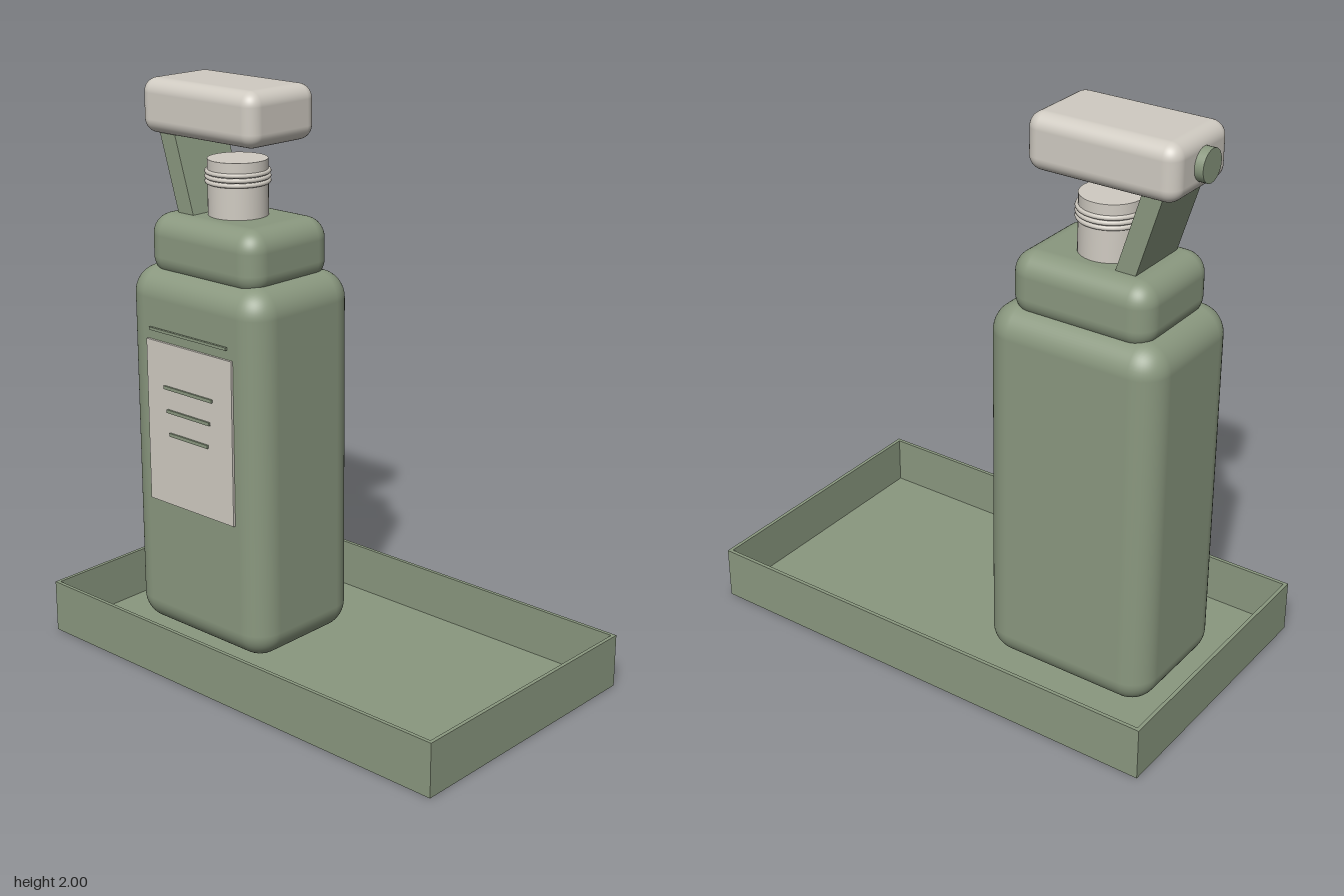
import * as THREE from 'three';
import { RoundedBoxGeometry } from 'three/addons/geometries/RoundedBoxGeometry.js';

const sage = new THREE.MeshStandardMaterial({ color: 0x8a987f });
sage.name = 'sage green';
const cream = new THREE.MeshStandardMaterial({ color: 0xd0cbc2 });
cream.name = 'warm cream';

const AXIS = -0.41; // x of the bottle's centre line

export function createModel() {
  const model = new THREE.Group();
  model.name = 'soapDispenserOnTray';

  const add = (parent, name, geometry, material, x, y, z) => {
    const mesh = new THREE.Mesh(geometry, material);
    mesh.name = name;
    mesh.position.set(x, y, z);
    parent.add(mesh);
    return mesh;
  };
  const group = (name) => {
    const g = new THREE.Group();
    g.name = name;
    model.add(g);
    return g;
  };

  // Shallow tray: floor and four thin walls
  const tray = group('tray');
  const wall = 0.013, floor = 0.015, height = 0.19;
  add(tray, 'trayFloor', new THREE.BoxGeometry(1.76, floor, 1), sage, 0, floor / 2, 0);
  const wallY = (height + floor) / 2;
  for (const side of [-1, 1]) {
    add(tray, 'trayLongWall', new THREE.BoxGeometry(1.76, height - floor, wall), sage,
      0, wallY, side * (0.5 - wall / 2));
    add(tray, 'trayEndWall', new THREE.BoxGeometry(wall, height - floor, 1 - 2 * wall), sage,
      side * (0.88 - wall / 2), wallY, 0);
  }

  // Bottle body and stepped shoulder
  const bottle = group('bottle');
  add(bottle, 'bottleBody', new RoundedBoxGeometry(0.65, 1.345, 0.495, 6, 0.1), sage, AXIS, 0.6875, 0);
  add(bottle, 'shoulder', new RoundedBoxGeometry(0.52, 0.225, 0.4, 6, 0.075), sage, AXIS, 1.4325, 0);

  // Neck with three thread rings
  const pump = group('pump');
  add(pump, 'neck', new THREE.CylinderGeometry(0.105, 0.105, 0.22, 40), cream, AXIS, 1.63, 0);
  for (const y of [1.663, 1.68, 1.697]) {
    const ring = add(pump, 'threadRing', new THREE.TorusGeometry(0.107, 0.008, 8, 40), cream, AXIS, y, 0);
    ring.rotation.x = Math.PI / 2;
  }

  // Pump head, its leaning support and the round nozzle
  add(pump, 'pumpHead', new RoundedBoxGeometry(0.54, 0.19, 0.32, 6, 0.05), cream, -0.455, 1.905, 0);
  const support = add(pump, 'support', new THREE.BoxGeometry(0.07, 0.36, 0.245), sage, -0.583, 1.675, 0);
  support.rotation.z = 0.3;
  const nozzle = add(pump, 'nozzle', new THREE.CylinderGeometry(0.055, 0.055, 0.06, 32), sage, -0.725, 1.905, 0);
  nozzle.rotation.z = Math.PI / 2;

  // Front label with plain printed bars, and a bar above it
  const label = group('label');
  add(label, 'labelPlate', new THREE.BoxGeometry(0.415, 0.595, 0.009), cream, -0.4075, 0.8175, 0.2525);
  for (const [y, width] of [[0.955, 0.235], [0.87, 0.21], [0.785, 0.19]]) {
    add(label, 'labelBar', new THREE.BoxGeometry(width, 0.012, 0.008), sage, AXIS, y, 0.26);
  }
  add(label, 'upperBar', new THREE.BoxGeometry(0.375, 0.01, 0.009), sage, AXIS, 1.155, 0.256);

  return model;
}
